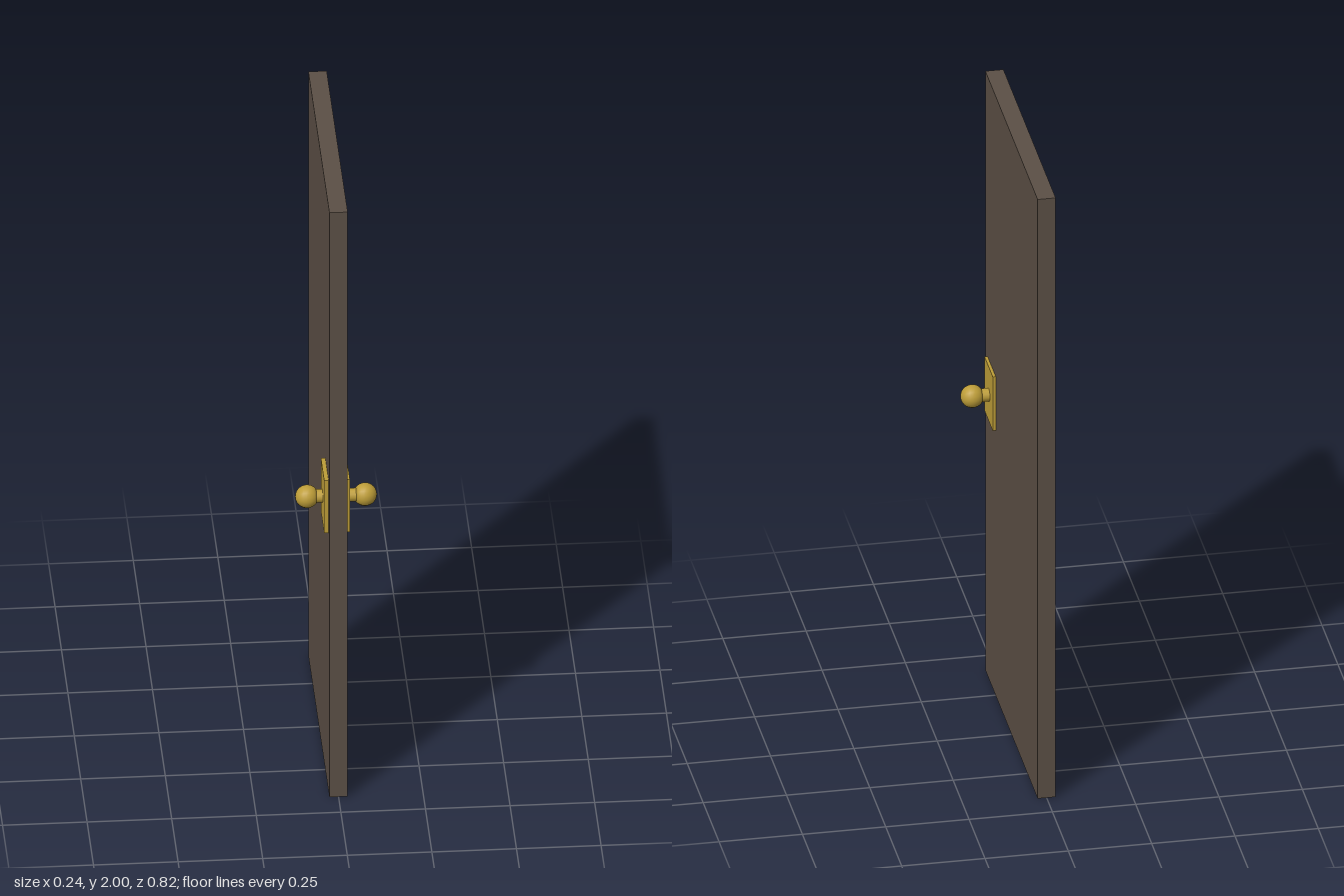
import * as THREE from 'three';

export function createModel() {
  const model = new THREE.Group();
  model.name = 'door';
  const wood = new THREE.MeshStandardMaterial({ color: 0x5b4f45 });
  wood.name = 'darkWood';
  const brass = new THREE.MeshStandardMaterial({ color: 0xbd9d38 });
  brass.name = 'brass';

  const add = (name, geometry, material, x, y, z) => {
    const mesh = new THREE.Mesh(geometry, material);
    mesh.name = name;
    mesh.position.set(x, y, z);
    model.add(mesh);
    return mesh;
  };

  // Door slab
  add('doorSlab', new THREE.BoxGeometry(0.054, 2, 0.82), wood, 0, 1, 0);

  // Lock plate, stem and round knob on each face
  const knobY = 0.973, knobZ = 0.31, radius = 0.035;
  const profile = [new THREE.Vector2(0, -0.027)];
  for (let i = 0; i <= 10; i++) {
    const a = THREE.MathUtils.lerp(-0.88, Math.PI / 2, i / 10);
    profile.push(new THREE.Vector2(Math.max(0, radius * Math.cos(a)), radius * Math.sin(a)));
  }
  for (const [side, s, plateOuter] of [['left', 1, 0.036], ['right', -1, 0.04]]) {
    const inner = 0.02;
    add(side + 'LockPlate', new THREE.BoxGeometry(plateOuter - inner, 0.18, 0.13), brass,
      s * (plateOuter + inner) / 2, 0.975, 0.312);
    const stem = add(side + 'KnobStem', new THREE.CylinderGeometry(0.02, 0.02, 0.04, 12), brass,
      s * 0.05, knobY, knobZ);
    const knob = add(side + 'Knob', new THREE.LatheGeometry(profile, 16), brass,
      s * 0.0857, knobY, knobZ);
    stem.rotation.z = knob.rotation.z = -s * Math.PI / 2;
  }
  return model;
}
